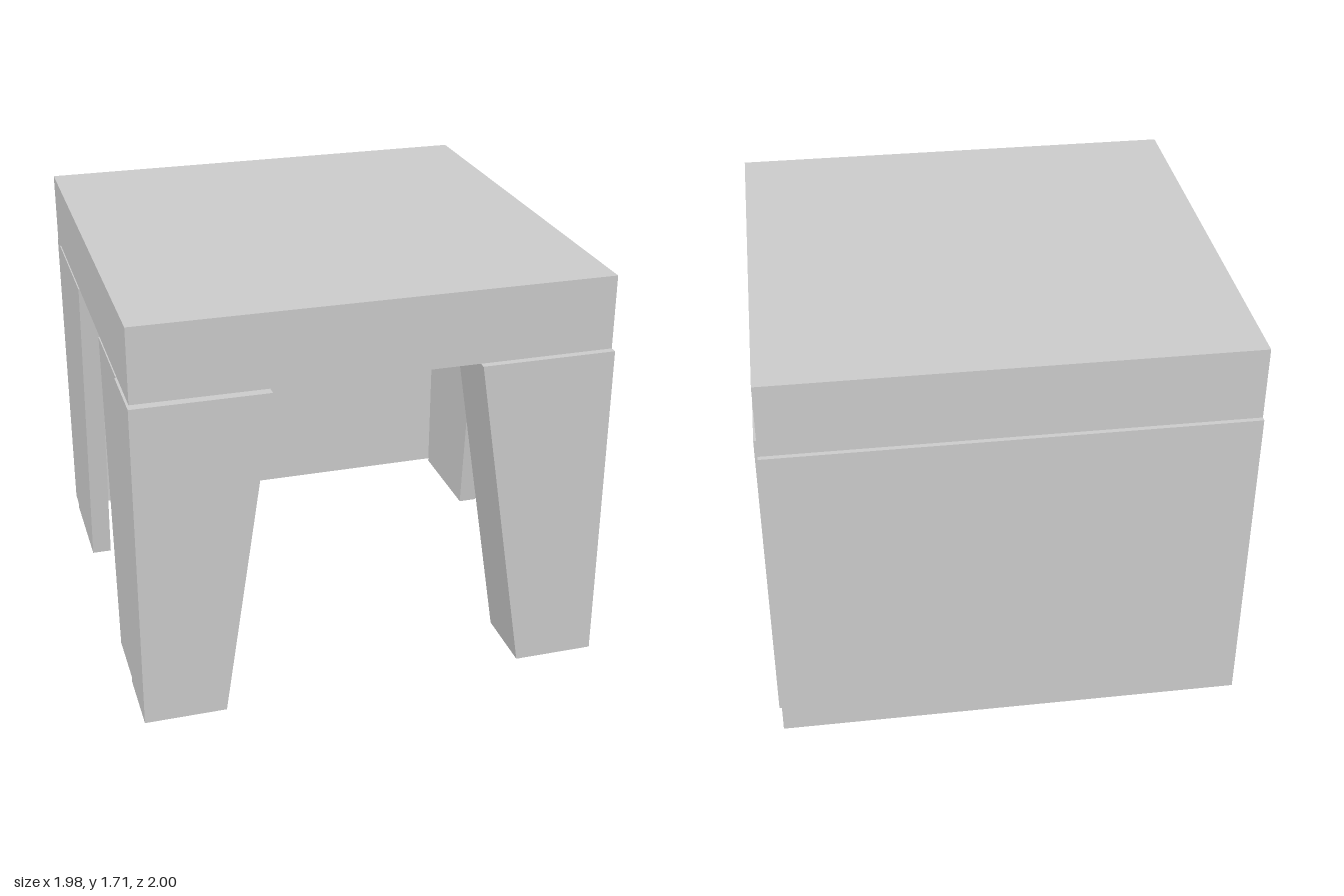
import * as THREE from 'three';

const material = new THREE.MeshStandardMaterial({ color: 0xcccccc, flatShading: true });

// Board with one vertical outer edge and one slanted inner edge, extruded along +z
function taperedBoard(outer, innerTop, innerBottom, height, depth) {
  const pts = [[outer, 0], [innerBottom, 0], [innerTop, height], [outer, height]];
  const shape = new THREE.Shape(pts.map(([x, y]) => new THREE.Vector2(x, y)));
  return new THREE.ExtrudeGeometry(shape, { depth, bevelEnabled: false });
}

function box(x0, x1, y0, y1, z0, z1) {
  return new THREE.BoxGeometry(x1 - x0, y1 - y0, z1 - z0)
    .translate((x0 + x1) / 2, (y0 + y1) / 2, (z0 + z1) / 2);
}

export function createModel() {
  const group = new THREE.Group();
  const add = (name, geometry) => {
    const mesh = new THREE.Mesh(geometry, material);
    mesh.name = name;
    group.add(mesh);
  };
  const legH = 1.4;

  // Thick square top and full-width back panel
  add('seat', box(-0.98, 0.97, legH, 1.71, -0.98, 0.96));
  add('backPanel', box(-0.98, 0.97, 0, legH, -1, -0.9));

  // Front legs, narrowing towards the floor
  add('frontLegRight', taperedBoard(-0.99, -0.44, -0.65, legH, 0.3).translate(0, 0, 0.7));
  add('frontLegLeft', taperedBoard(0.97, 0.41, 0.63, legH, 0.295).translate(0, 0, 0.695));

  // Thin side boards: the profile lies along z and the thickness along x
  const thick = 0.085;
  for (const [side, xMax] of [['Left', 0.985], ['Right', -0.985 + thick]]) {
    for (const [end, outer, dir] of [['front', 0.69, 1], ['back', -0.875, -1]]) {
      const board = taperedBoard(outer, dir * 0.28, dir * 0.4, legH, thick);
      add(end + 'SideBoard' + side, board.rotateY(-Math.PI / 2).translate(xMax, 0, 0));
    }
  }
  return group;
}
